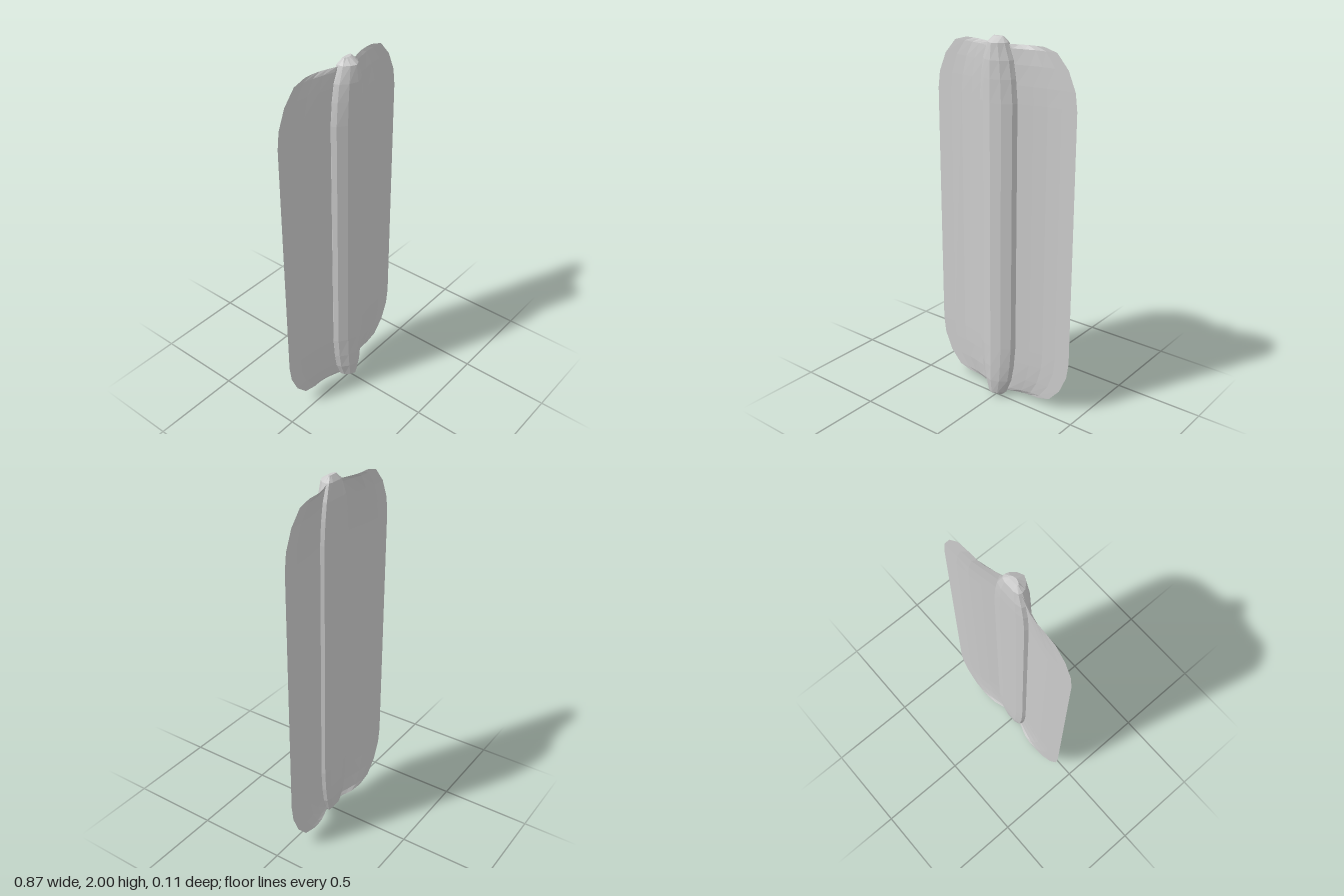
import * as THREE from 'three';

// Surface through rows of points; optionally closed around, with end caps
function loft(rows, closed) {
  const n = rows[0].length, pos = rows.flat(2), index = [];
  for (let r = 0; r < rows.length - 1; r++) {
    for (let i = 0; i < (closed ? n : n - 1); i++) {
      const a = r * n + i, b = r * n + (i + 1) % n;
      index.push(a, b, b + n, a, b + n, a + n);
    }
  }
  if (closed) {
    const top = (rows.length - 1) * n;
    for (let i = 1; i < n - 1; i++) {
      index.push(0, i + 1, i);
      index.push(top, top + i, top + i + 1);
    }
  }
  const g = new THREE.BufferGeometry();
  g.setAttribute('position', new THREE.Float32BufferAttribute(pos, 3));
  g.setIndex(index);
  const flat = g.toNonIndexed();
  flat.computeVertexNormals();
  return flat;
}

// Stations given for the upper half, repeated upside down for the lower half
const bothEnds = (s) => [...s.map(([y, ...rest]) => [2 - y, ...rest]), ...[...s].reverse()];

export function createModel() {
  const model = new THREE.Group();
  const material = new THREE.MeshStandardMaterial({
    color: 0xcccccc, flatShading: true, side: THREE.DoubleSide,
  });

  // Central body: flat back, keeled front, tapered ends
  // Half section from front keel to back: x as share of half width, z
  const half = [[0, 0.055], [0.5, 0.038], [0.9, 0.006], [1, -0.02], [0.9, -0.042], [0.5, -0.05]];
  const section = [...half, ...half.slice(1).reverse().map(([x, z]) => [-x, z])];
  // y, half width, depth scale, depth offset
  const bodyStations = bothEnds([
    [2, 0.03, 0.2, -0.011],
    [1.972, 0.058, 0.8, 0],
    [1.89, 0.089, 0.97, 0],
    [1.8, 0.104, 1, 0],
    [1.68, 0.114, 1, 0],
  ]);
  const bodyRows = bodyStations.map(([y, w, s, o]) => section.map(([x, z]) => [x * w, y, z * s + o]));
  const body = new THREE.Mesh(loft(bodyRows, true), material);
  body.name = 'body';
  model.add(body);

  // Thin side wings: bent profile narrowed toward the rounded ends
  const profile = [[0, -0.012], [0.25, -0.023], [0.45, -0.04], [0.62, -0.053], [0.8, -0.059], [1, -0.06]];
  const wingStations = bothEnds([
    [1.965, 0.24],
    [1.945, 0.315],
    [1.87, 0.382],
    [1.77, 0.425],
    [1.68, 0.437],
  ]);
  for (const [side, name] of [[1, 'leftWing'], [-1, 'rightWing']]) {
    const across = side > 0 ? profile : [...profile].reverse();
    const rows = wingStations.map(([y, w]) => across.map(([u, z]) => [side * u * w, y, z]));
    const wing = new THREE.Mesh(loft(rows, false), material);
    wing.name = name;
    model.add(wing);
  }
  return model;
}
